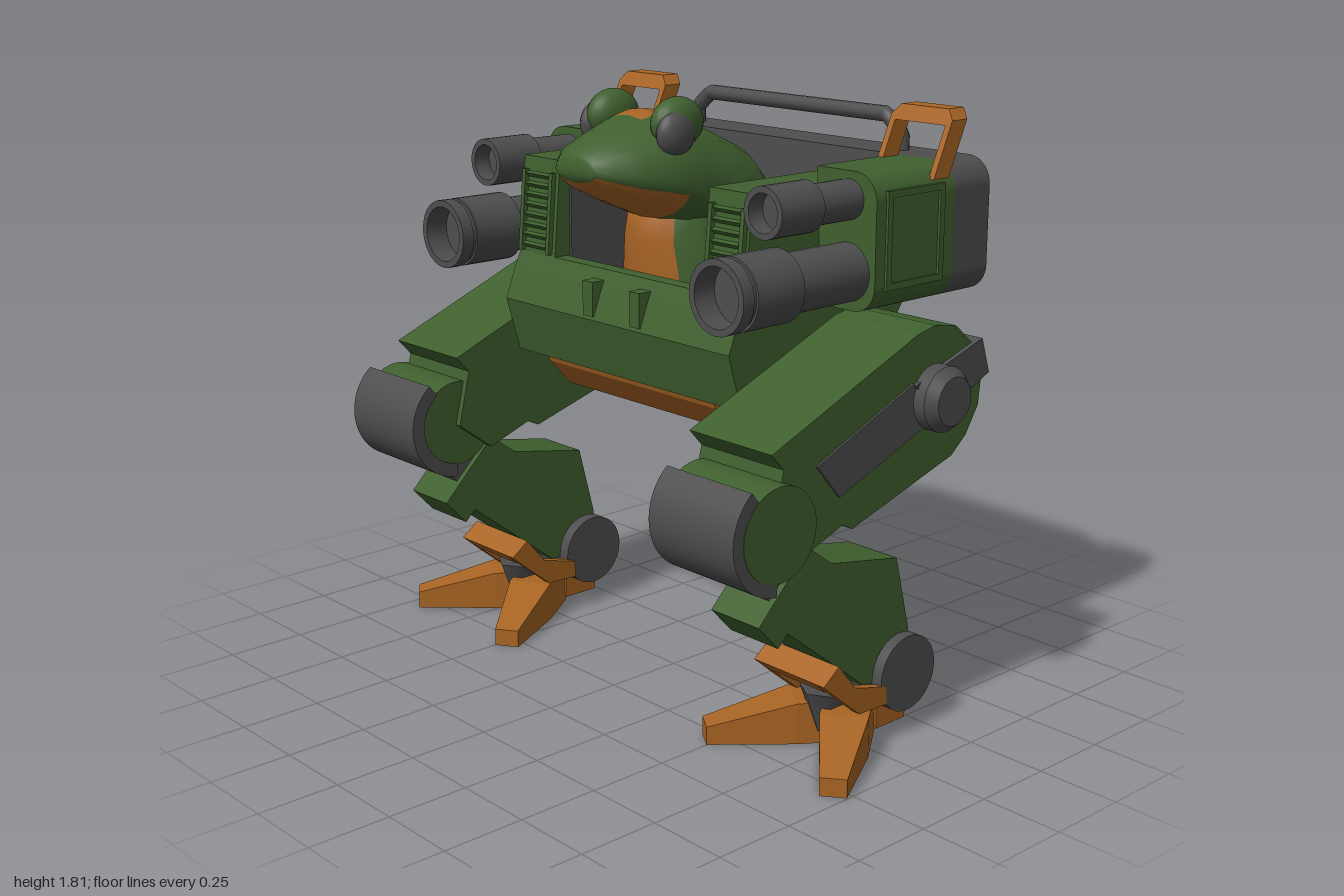
import * as THREE from 'three';
import { toCreasedNormals } from 'three/addons/utils/BufferGeometryUtils.js';

const flat = (name, color) => {
  const m = new THREE.MeshStandardMaterial({ color });
  m.name = name;
  return m;
};

// Extrudes a [z, y] outline across x0..x1
function slab(outline, x0, x1) {
  const shape = outline instanceof THREE.Shape ? outline
    : new THREE.Shape(outline.map(p => new THREE.Vector2(...p)));
  const g = new THREE.ExtrudeGeometry(shape, { depth: x1 - x0, bevelEnabled: false, curveSegments: 16 });
  return g.rotateY(-Math.PI / 2).translate(x1, 0, 0);
}

const box = (x0, x1, y0, y1, z0, z1) => new THREE.BoxGeometry(x1 - x0, y1 - y0, z1 - z0)
  .translate((x0 + x1) / 2, (y0 + y1) / 2, (z0 + z1) / 2);

// Cylinder lying along x
const axle = (r, x0, x1, y, z) => new THREE.CylinderGeometry(r, r, x1 - x0, 32)
  .rotateZ(Math.PI / 2).translate((x0 + x1) / 2, y, z);

const ball = (r, sx, sy, sz, x, y, z) => new THREE.SphereGeometry(r, 24, 16).scale(sx, sy, sz).translate(x, y, z);

// Lathe along z, with sharp edges
const turned = (pts, x, y) => toCreasedNormals(
  new THREE.LatheGeometry(pts.map(p => new THREE.Vector2(...p)), 28), 0.6).rotateX(Math.PI / 2).translate(x, y, 0);

function mirrored(geo) {
  const g = geo.index ? geo.toNonIndexed() : geo.clone();
  g.scale(-1, 1, 1);
  for (const a of Object.values(g.attributes)) {
    const n = a.itemSize;
    for (let i = 0; i < a.count; i += 3) {
      for (let k = 0; k < n; k++) {
        const p = (i + 1) * n + k, q = p + n, t = a.array[p];
        a.array[p] = a.array[q];
        a.array[q] = t;
      }
    }
  }
  return g;
}

// Skin over closed rings; second(i, j) picks faces for the second material
function loft(rings, second) {
  const n = rings[0].length, pos = rings.flat(2), sets = [[], []];
  for (let i = 0; i < rings.length - 1; i++) for (let j = 0; j < n; j++) {
    const k = (j + 1) % n, a = i * n + j, b = i * n + k;
    sets[second(i, j) ? 1 : 0].push(a, b, b + n, a, b + n, a + n);
  }
  const last = (rings.length - 1) * n;
  for (let j = 1; j < n - 1; j++) sets[0].push(0, j + 1, j, last, last + j, last + j + 1);
  const g = new THREE.BufferGeometry();
  g.setAttribute('position', new THREE.Float32BufferAttribute(pos, 3));
  g.setIndex([...sets[0], ...sets[1]]);
  g.addGroup(0, sets[0].length, 0);
  g.addGroup(sets[0].length, sets[1].length, 1);
  g.computeVertexNormals();
  return g;
}

function toe(angle) {
  const L = 0.43, g = new THREE.BoxGeometry(0.14, 0.125, L, 1, 1, 5).translate(0, 0.0625, L / 2), p = g.attributes.position;
  for (let i = 0; i < p.count; i++) {
    const k = Math.max(0, (p.getZ(i) / L - 0.4) / 0.6);
    p.setX(i, p.getX(i) * (1 - 0.45 * k));
    p.setY(i, p.getY(i) * (1 - 0.56 * k));
  }
  const f = g.toNonIndexed();
  f.computeVertexNormals();
  return f.rotateY(angle).translate(0.71, 0, -0.05);
}

export function createModel() {
  const model = new THREE.Group();
  model.name = 'walker';
  const green = flat('green', 0x40602f), grey = flat('grey', 0x4e4e4e), orange = flat('orange', 0xa86424);
  const add = (name, geo, mat) => {
    const m = new THREE.Mesh(geo, mat);
    m.name = name;
    model.add(m);
  };
  const pair = (name, geo, mat) => {
    add(name + 'Left', geo, mat);
    add(name + 'Right', mirrored(geo), mat);
  };

  // Cockpit tub, side walls and lining
  add('tub', slab([[0.19, 1.285], [0.215, 1.23], [0.25, 1.14], [0.2, 0.97], [-0.25, 0.97], [-0.42, 1.12], [-0.5, 1.235],
    [-0.43, 1.235], [-0.36, 1.13], [0.14, 1.13], [0.14, 1.285]], -0.33, 0.33), green);
  pair('sideWall', slab([[0.165, 1.58], [0.19, 1.285], [0.215, 1.23], [0.25, 1.14], [0.2, 0.97], [-0.25, 0.97],
    [-0.42, 1.12], [-0.5, 1.235], [-0.43, 1.58]], 0.33, 0.5), green);
  pair('wallLining', box(0.322, 0.33, 1.13, 1.57, -0.43, 0.13), grey);
  add('cockpitFloor', box(-0.325, 0.325, 1.13, 1.138, -0.38, 0.14), grey);
  pair('clip', box(0.082, 0.127, 1.15, 1.255, 0.2, 0.25), green);

  // Louvred vents
  for (let i = 0; i < 8; i++) {
    const y = 1.29 + i * 0.031;
    const z = 0.189 - (y - 1.285) * 0.085;
    pair('ventSlat' + i, slab([[z - 0.01, y + 0.03], [z - 0.01, y], [z + 0.014, y + 0.022]], 0.36, 0.475), green);
  }
  for (const [a, b] of [[0.345, 0.36], [0.475, 0.49]]) {
    pair('ventFrame', slab([[0.16, 1.54], [0.16, 1.29], [0.205, 1.29], [0.184, 1.54]], a, b), green);
  }

  // Rear armour with rounded corners
  const W = 0.715, r = 0.08, lo = 1.235, hi = 1.63, h = Math.PI / 2;
  const back = new THREE.Shape();
  back.absarc(W - r, hi - r, r, 0, h);
  back.absarc(-W + r, hi - r, r, h, 2 * h);
  back.absarc(-W + r, lo + r, r, 2 * h, 3 * h);
  back.absarc(W - r, lo + r, r, 3 * h, 4 * h);
  add('rearArmour', new THREE.ExtrudeGeometry(back, { depth: 0.155, bevelEnabled: false }).translate(0, 0, -0.585), grey);
  const bar = new THREE.CurvePath();
  const pts = [[-0.44, 1.6], [-0.44, 1.68], [-0.38, 1.73], [0.38, 1.73], [0.44, 1.68], [0.44, 1.6]]
    .map(p => new THREE.Vector3(p[0], p[1], -0.51));
  for (let i = 0; i < 5; i++) bar.add(new THREE.LineCurve3(pts[i], pts[i + 1]));
  add('rollBar', new THREE.TubeGeometry(bar, 60, 0.024, 10), grey);

  // Weapon pods, side frames and grab hoops
  const pod = new THREE.Shape();
  pod.moveTo(0.49, hi);
  pod.lineTo(0.49, lo);
  pod.absarc(W - r, lo + r, r, 3 * h, 4 * h);
  pod.absarc(W - r, hi - r, r, 0, h);
  pair('pod', new THREE.ExtrudeGeometry(pod, { depth: 0.33, bevelEnabled: false }).translate(0, 0, -0.43), green);
  const frame = new THREE.Shape([[-0.38, 1.3], [-0.14, 1.3], [-0.14, 1.58], [-0.38, 1.58]].map(p => new THREE.Vector2(...p)));
  frame.holes.push(new THREE.Path([[-0.36, 1.32], [-0.36, 1.56], [-0.16, 1.56], [-0.16, 1.32]].map(p => new THREE.Vector2(...p))));
  pair('podFrame', slab(frame, 0.71, 0.723), green);
  const hoop = new THREE.Shape([[0.488, 1.59], [0.508, 1.59], [0.508, 1.735], [0.695, 1.735], [0.695, 1.59], [0.715, 1.59],
    [0.715, 1.75], [0.69, 1.78], [0.515, 1.78], [0.488, 1.75]].map(p => new THREE.Vector2(...p)));
  const hoopGeo = new THREE.ExtrudeGeometry(hoop, { depth: 0.065, bevelEnabled: false });
  const hp = hoopGeo.attributes.position;
  for (let i = 0; i < hp.count; i++) hp.setZ(i, hp.getZ(i) - 0.4 - (hp.getY(i) - 1.59) * 0.45);
  hoopGeo.computeVertexNormals();
  pair('podHoop', hoopGeo, orange);

  // Guns
  pair('upperGun', turned([[0.058, -0.12], [0.058, 0.07], [0.073, 0.07], [0.073, 0.235], [0.055, 0.235], [0.055, 0.18], [0, 0.18]],
    0.61, 1.55), grey);
  pair('lowerGun', turned([[0.085, -0.12], [0.085, 0.175], [0.105, 0.175], [0.105, 0.35], [0.098, 0.35], [0.098, 0.365],
    [0.105, 0.365], [0.105, 0.405], [0.085, 0.405], [0.085, 0.33], [0, 0.33]], 0.61, 1.345), grey);

  // Frog pilot: torso, then head
  const n = 20, ang = Array.from({ length: n }, (_, j) => j * 2 * Math.PI / n);
  const torso = [[1.1, -0.06, 0.2, 0.18], [1.28, -0.07, 0.21, 0.2], [1.38, -0.07, 0.185, 0.21], [1.46, -0.08, 0.175, 0.21],
    [1.55, -0.11, 0.18, 0.18]].map(([y, cz, rx, rz]) => ang.map(a => [rx * Math.cos(a), y, cz - rz * Math.sin(a)]));
  add('pilotTorso', loft(torso, (i, j) => j >= 13 && j <= 16), [green, orange]);
  const head = [[-0.3, 0.12, 1.55, 1.4], [-0.2, 0.195, 1.64, 1.37], [-0.07, 0.215, 1.7, 1.39], [0.06, 0.215, 1.755, 1.42],
    [0.12, 0.212, 1.765, 1.445], [0.18, 0.202, 1.75, 1.47], [0.26, 0.178, 1.715, 1.505], [0.33, 0.14, 1.69, 1.54],
    [0.375, 0.09, 1.655, 1.575]].map(([z, w, top, bot]) => {
    const mid = bot + 0.4 * (top - bot);
    return ang.map(a => {
      const s = Math.sin(a);
      return [w * Math.cos(a), mid + s * (s > 0 ? top - mid : mid - bot), z];
    });
  });
  add('pilotHead', loft(head, (i, j) => (i >= 4 && j >= 11 && j <= 18) || ((i === 3 || i === 4) && (j === 4 || j === 5))),
    [green, orange]);
  pair('brow', ball(0.075, 0.75, 1, 1.2, 0.14, 1.735, 0.115), green);
  pair('eye', ball(0.066, 0.6, 1, 1, 0.168, 1.71, 0.145), grey);
  pair('nostril', ball(0.012, 1, 1, 1, 0.085, 1.655, 0.325), grey);

  // Pelvis and hip axle
  add('pelvis', slab([[0.22, 1.09], [0.215, 1.04], [0.18, 0.95], [0.1, 0.865], [-0.2, 0.865], [-0.36, 1.0], [-0.36, 1.09]],
    -0.375, 0.375), orange);
  add('hipAxle', axle(0.09, -0.6, 0.6, 1.01, -0.215), grey);
  pair('hipHub', new THREE.CylinderGeometry(0.07, 0.095, 0.03, 32).rotateZ(-h).translate(0.905, 1.01, -0.215), grey);
  pair('hipCap', axle(0.095, 0.83, 0.89, 1.01, -0.215), grey);

  // Thighs
  pair('thigh', slab([[0.425, 0.97], [-0.14, 1.2], [-0.21, 1.215], [-0.3, 1.2], [-0.37, 1.14], [-0.42, 1.04], [-0.41, 0.95],
    [-0.36, 0.87], [-0.3, 0.82], [0.11, 0.695], [0.15, 0.715], [0.3, 0.66], [0.42, 0.75], [0.38, 0.92]], 0.53, 0.845), green);
  pair('thighStrip', slab([[0.26, 0.905], [-0.12, 1.065], [-0.17, 0.93], [0.17, 0.8]], 0.84, 0.852), grey);
  pair('thighBand', slab([[-0.12, 1.06], [-0.4, 1.15], [-0.435, 1.045], [-0.2, 0.95]], 0.84, 0.86), grey);
  pair('thighClamp', slab([[-0.33, 1.125], [-0.4, 1.15], [-0.435, 1.045], [-0.36, 1.01]], 0.52, 0.86), grey);

  // Knees
  pair('knee', axle(0.135, 0.55, 0.872, 0.755, 0.415), green);
  const shell = new THREE.Shape(), a0 = -1.5, a1 = 0.91;
  shell.absarc(0.413, 0.757, 0.173, a0, a1, false);
  shell.absarc(0.413, 0.757, 0.13, a1, a0, true);
  pair('kneeGuard', toCreasedNormals(slab(shell, 0.545, 0.87), 0.5), grey);
  pair('kneeLink', slab([[0.44, 0.61], [0.36, 0.53], [0.26, 0.45], [0.2, 0.56], [0.26, 0.63], [0.38, 0.7]], 0.635, 0.78), grey);

  // Shins and ankles
  pair('shin', slab([[0.42, 0.475], [0.235, 0.66], [0.14, 0.59], [-0.13, 0.54], [-0.19, 0.31], [-0.15, 0.19], [-0.01, 0.18],
    [0.31, 0.43], [0.345, 0.395]], 0.615, 0.8), green);
  pair('ankle', axle(0.115, 0.575, 0.835, 0.19, -0.155), grey);

  // Feet
  pair('outerToe', toe(0.64), orange);
  pair('innerToe', toe(-0.6), orange);
  pair('heel', box(0.645, 0.775, 0.015, 0.12, -0.215, -0.09), orange);
  pair('footWedge', new THREE.CylinderGeometry(0.075, 0.025, 0.13, 6).translate(0.71, 0.105, 0.06), grey);
  const arm = [[0.2, 0.25], [0.14, 0.295], [0.07, 0.21], [-0.06, 0.175], [-0.065, 0.12], [0.05, 0.125], [0.13, 0.19]];
  pair('guardArmInner', slab(arm, 0.562, 0.59), orange);
  pair('guardArmOuter', slab(arm, 0.808, 0.836), orange);
  pair('guardBar', slab([[0.2, 0.25], [0.14, 0.295], [0.1, 0.247], [0.163, 0.215]], 0.59, 0.808), orange);

  return model;
}
